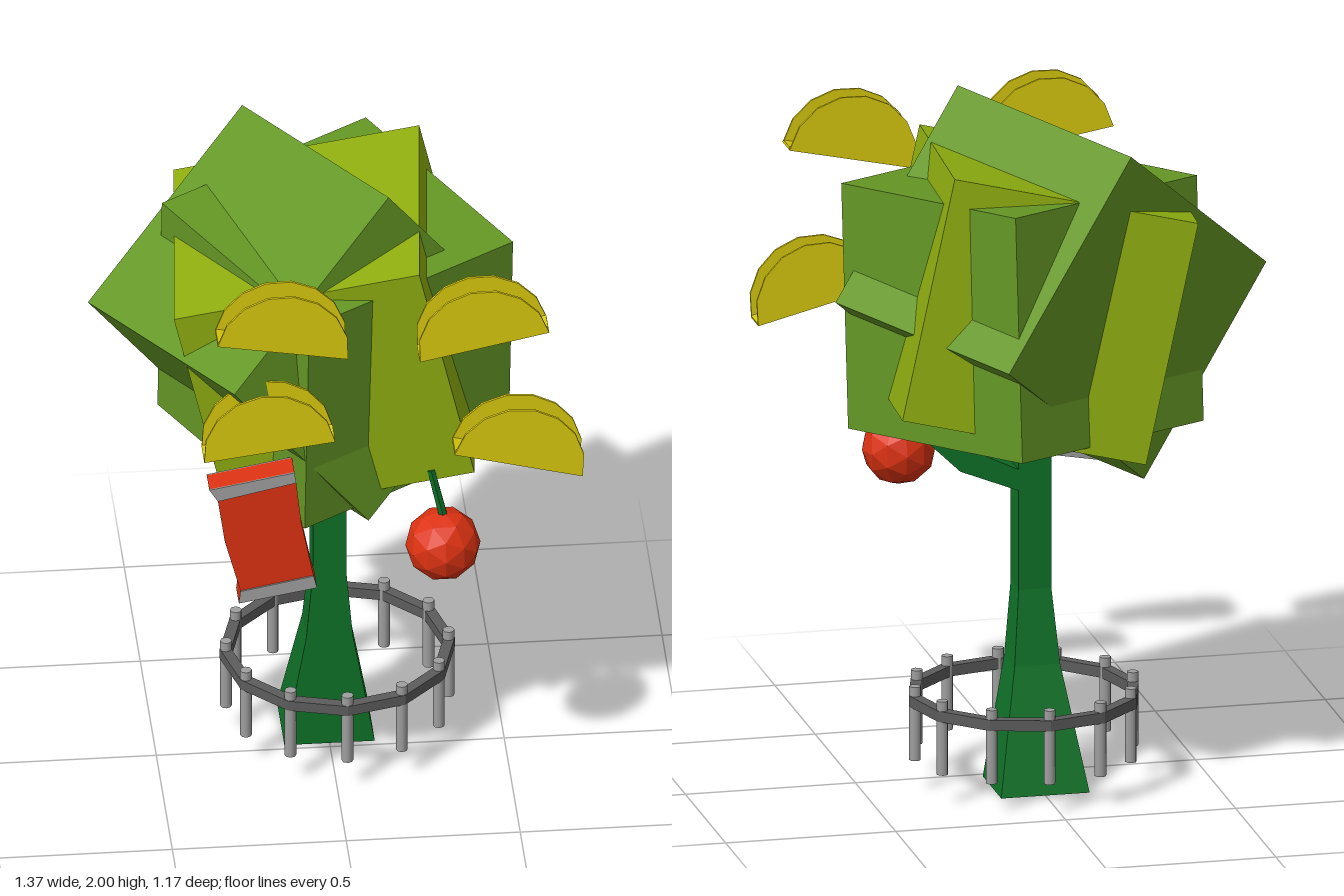
import * as THREE from 'three';

const mat = (name, color) => {
  const m = new THREE.MeshStandardMaterial({ color });
  m.name = name;
  return m;
};

export function createModel() {
  const root = new THREE.Group();
  root.name = 'tree';
  const leafGreen = mat('leaf green', 0x659725);
  const olive = mat('olive leaf', 0x8fae10);
  const bark = mat('trunk green', 0x0f7228);
  const red = mat('red', 0xdd3212);
  const yellow = mat('yellow', 0xd8c80e);
  const lightGrey = mat('light grey', 0xa0a0a0);
  const darkGrey = mat('dark grey', 0x5c5c5c);

  // Splits the faces so each is shaded flat
  const flat = (g) => {
    const f = g.index ? g.toNonIndexed() : g;
    f.computeVertexNormals();
    return f;
  };
  const add = (name, geometry, material, parent = root) => {
    const m = new THREE.Mesh(geometry, material);
    m.name = name;
    parent.add(m);
    return m;
  };
  // Outline in x and y, pulled from z0 to z1
  const plate = (points, z0, z1) => {
    const shape = new THREE.Shape(points.map(([x, y]) => new THREE.Vector2(x, y)));
    return new THREE.ExtrudeGeometry(shape, { depth: z1 - z0, bevelEnabled: false }).translate(0, 0, z0);
  };

  // Crown: three equal cubes, each tumbled along two of its edges
  const cube = (name, material, centre, xEdge, yEdge) => {
    const x = new THREE.Vector3(...xEdge).normalize();
    const z = x.clone().cross(new THREE.Vector3(...yEdge)).normalize();
    const y = z.clone().cross(x);
    const m = add(name, new THREE.BoxGeometry(0.72, 0.72, 0.72), material);
    m.quaternion.setFromRotationMatrix(new THREE.Matrix4().makeBasis(x, y, z));
    m.position.set(...centre);
  };
  cube('tiltedFoliage', leafGreen, [-0.069, 1.464, -0.026], [-0.365, -0.06, -0.62], [-0.465, -0.435, 0.33]);
  cube('uprightFoliage', leafGreen, [0.018, 1.415, -0.04], [0.618, 0.02, -0.365], [-0.365, 0.05, -0.63]);
  cube('oliveFoliage', olive, [-0.015, 1.431, -0.029], [0.066, 0.048, -0.72], [0.16, -0.7, -0.02]);

  // Trunk: square section, flared to the sides and back at the foot
  const rows = [[0, 0.13, -0.25], [0.36, 0.067, -0.15], [0.58, 0.048, -0.12], [1.15, 0.048, -0.12]];
  const trunk = new THREE.BoxGeometry(1, 1, 1, 1, 3, 1);
  const p = trunk.attributes.position;
  for (let i = 0; i < p.count; i++) {
    const [y, half, back] = rows[Math.round((p.getY(i) + 0.5) * 3)];
    p.setXYZ(i, Math.sign(p.getX(i)) * half, y, p.getZ(i) > 0 ? -0.02 : back);
  }
  add('trunk', flat(trunk), bark);

  // Side branch
  add('branch', plate([[0, 0.86], [0.05, 0.877], [0.22, 0.945], [0.38, 1.1],
    [0.33, 1.15], [0.175, 1.0], [0.05, 0.94], [0, 0.92]], -0.12, -0.02), bark);

  // Hanging fruit with a leaning stem
  add('fruit', flat(new THREE.IcosahedronGeometry(0.108, 1)), red).position.set(0.293, 0.89, 0.335);
  const stem = add('fruitStem', flat(new THREE.CylinderGeometry(0.012, 0.014, 0.18, 6)), bark);
  stem.position.set(0.278, 1.055, 0.335);
  stem.rotation.z = 0.22;

  // Bent red tin with grey bands on its two broad faces
  add('tinBody', plate([[-0.305, 0.8], [-0.08, 0.84], [-0.09, 0.88], [-0.125, 1.06], [-0.14, 1.2],
    [-0.145, 1.235], [-0.39, 1.19], [-0.365, 1.15], [-0.345, 1.01], [-0.3, 0.84]], 0.38, 0.455), red);
  const bands = {
    tinTopBand: [[-0.365, 1.15], [-0.14, 1.2], [-0.145, 1.235], [-0.39, 1.19]],
    tinBottomBand: [[-0.305, 0.8], [-0.08, 0.84], [-0.09, 0.88], [-0.3, 0.84]],
  };
  for (const [name, points] of Object.entries(bands)) {
    add(name + 'Front', plate(points, 0.455, 0.46), lightGrey);
    add(name + 'Back', plate(points, 0.375, 0.38), lightGrey);
  }

  // Yellow shells: two half discs joined by a floor, open above
  const shell = (x, y, z, tilt) => {
    const g = new THREE.Group();
    g.name = 'shell';
    const r = 0.19, arc = [];
    for (let i = 0; i <= 8; i++) arc.push([r * Math.cos(i * Math.PI / 8), r * Math.sin(i * Math.PI / 8)]);
    add('shellFront', plate(arc, 0.037, 0.045), yellow, g);
    add('shellBack', plate(arc, -0.045, -0.037), yellow, g);
    add('shellFloor', new THREE.BoxGeometry(2 * r, 0.008, 0.074), yellow, g).position.y = 0.004;
    g.position.set(x, y, z);
    g.rotation.z = tilt;
    root.add(g);
  };
  shell(-0.19, 1.725, 0.54, -0.17);
  shell(0.39, 1.71, 0.54, 0.21);
  shell(-0.225, 1.373, 0.515, 0.13);
  shell(0.49, 1.286, 0.515, -0.25);

  // Round fence: one rail and twelve posts
  const fence = new THREE.Group();
  fence.name = 'fence';
  fence.position.set(0.03, 0, -0.107);
  root.add(fence);
  const section = [[0.305, 0.25], [0.338, 0.25], [0.338, 0.282], [0.305, 0.282], [0.305, 0.25]];
  add('fenceRail', flat(new THREE.LatheGeometry(section.map(([x, y]) => new THREE.Vector2(x, y)), 12)), darkGrey, fence);
  const post = new THREE.CylinderGeometry(0.017, 0.017, 0.22, 8);
  for (let i = 0; i < 12; i++) {
    const a = i * Math.PI / 6;
    add('fencePost', post, lightGrey, fence).position.set(0.32 * Math.sin(a), 0.2, 0.32 * Math.cos(a));
  }
  return root;
}
